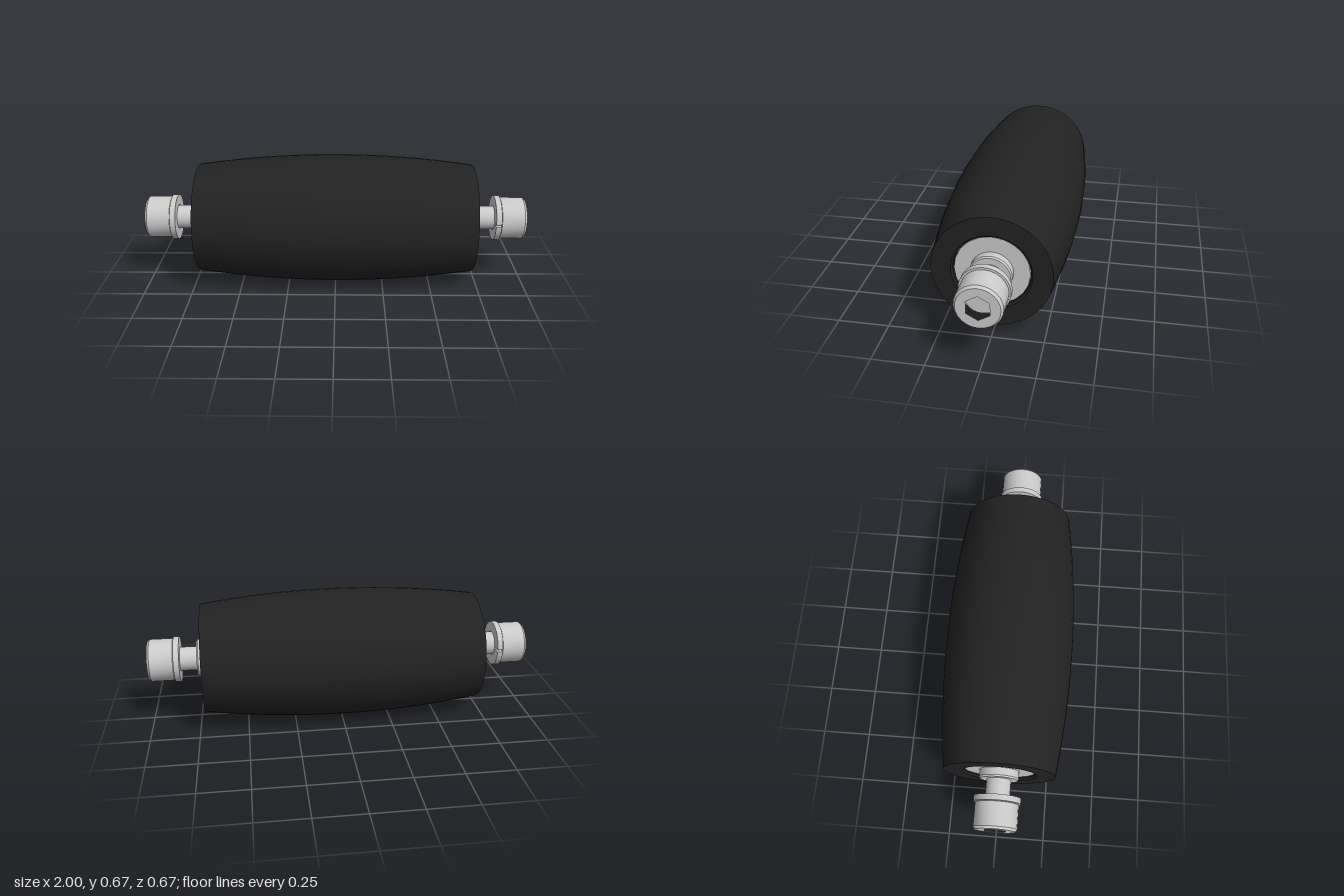
import * as THREE from 'three';
import { toCreasedNormals } from 'three/addons/utils/BufferGeometryUtils.js';

const AXIS_Y = 0.336;
const steel = new THREE.MeshStandardMaterial({ color: 0xcccccc });
const rubber = new THREE.MeshStandardMaterial({ color: 0x222222 });

function addMesh(parent, name, geometry, material) {
  const mesh = new THREE.Mesh(toCreasedNormals(geometry, 0.5), material);
  mesh.name = name;
  parent.add(mesh);
}

// Turns a profile of [x, radius] points around the x axis
function turned(profile, sides) {
  const points = profile.map(([x, r]) => new THREE.Vector2(r, x));
  return new THREE.LatheGeometry(points, sides).rotateZ(-Math.PI / 2);
}

// Extrudes a shape along x, starting at x0
function extrudedX(shape, x0, depth) {
  return new THREE.ExtrudeGeometry(shape, { depth, bevelEnabled: false, curveSegments: 32 })
    .rotateY(Math.PI / 2).translate(x0, 0, 0);
}

// Bushing, shank, split washer and socket-head bolt at the +x end
function createEnd(name) {
  const end = new THREE.Group();
  end.name = name;

  addMesh(end, 'bushing', turned(
    [[0.68, 0], [0.68, 0.1], [0.742, 0.1], [0.75, 0.094], [0.75, 0]], 28), steel);
  addMesh(end, 'boltShank', turned([[0.7, 0.062], [0.87, 0.062]], 24), steel);

  // Split spring washer
  const gap = 0.05;
  const ring = new THREE.Shape();
  ring.absarc(0, 0, 0.118, Math.PI + gap, 3 * Math.PI - gap, false);
  ring.absarc(0, 0, 0.064, 3 * Math.PI - gap, Math.PI + gap, true);
  ring.closePath();
  addMesh(end, 'splitWasher', extrudedX(ring, 0.837, 0.029), steel);

  // Chamfered head, its face pierced by a hexagonal socket
  addMesh(end, 'boltHead', turned(
    [[0.866, 0], [0.866, 0.106], [0.87, 0.11], [0.988, 0.11], [1, 0.1]], 24), steel);
  const face = new THREE.Shape();
  const hex = new THREE.Path();
  for (let i = 0; i < 24; i++) {
    const a = i * Math.PI / 12;
    face[i ? 'lineTo' : 'moveTo'](0.1 * Math.sin(a), 0.1 * Math.cos(a));
  }
  for (let i = 0; i < 6; i++) {
    const a = i * Math.PI / 3;
    hex[i ? 'lineTo' : 'moveTo'](0.06 * Math.sin(a), 0.06 * Math.cos(a));
  }
  face.closePath();
  hex.closePath();
  face.holes.push(hex);
  addMesh(end, 'hexSocket', extrudedX(face, 0.925, 0.075), steel);
  addMesh(end, 'socketFloor', new THREE.CircleGeometry(0.075, 24)
    .rotateY(Math.PI / 2).translate(0.926, 0, 0), steel);
  return end;
}

export function createModel() {
  const model = new THREE.Group();
  model.name = 'roller';
  const assembly = new THREE.Group();
  assembly.name = 'rollerAssembly';
  assembly.position.y = AXIS_Y;
  model.add(assembly);

  // Crowned rubber sleeve with chamfered bore
  const half = 0.72, steps = 16;
  const profile = [[-0.69, 0.18], [-0.71, 0.18], [-half, 0.19]];
  for (let i = 0; i <= steps; i++) {
    const t = -1 + 2 * i / steps;
    profile.push([t * half, 0.336 - 0.053 * t * t]);
  }
  profile.push([half, 0.19], [0.71, 0.18], [0.69, 0.18], [-0.69, 0.18]);
  addMesh(assembly, 'rubberSleeve', turned(profile, 40), rubber);

  // Metal core filling the bore
  addMesh(assembly, 'core', turned(
    [[-0.705, 0], [-0.705, 0.177], [0.705, 0.177], [0.705, 0]], 20), steel);

  const left = createEnd('leftEnd');
  const right = createEnd('rightEnd');
  right.rotation.y = Math.PI;
  assembly.add(left, right);
  return model;
}
